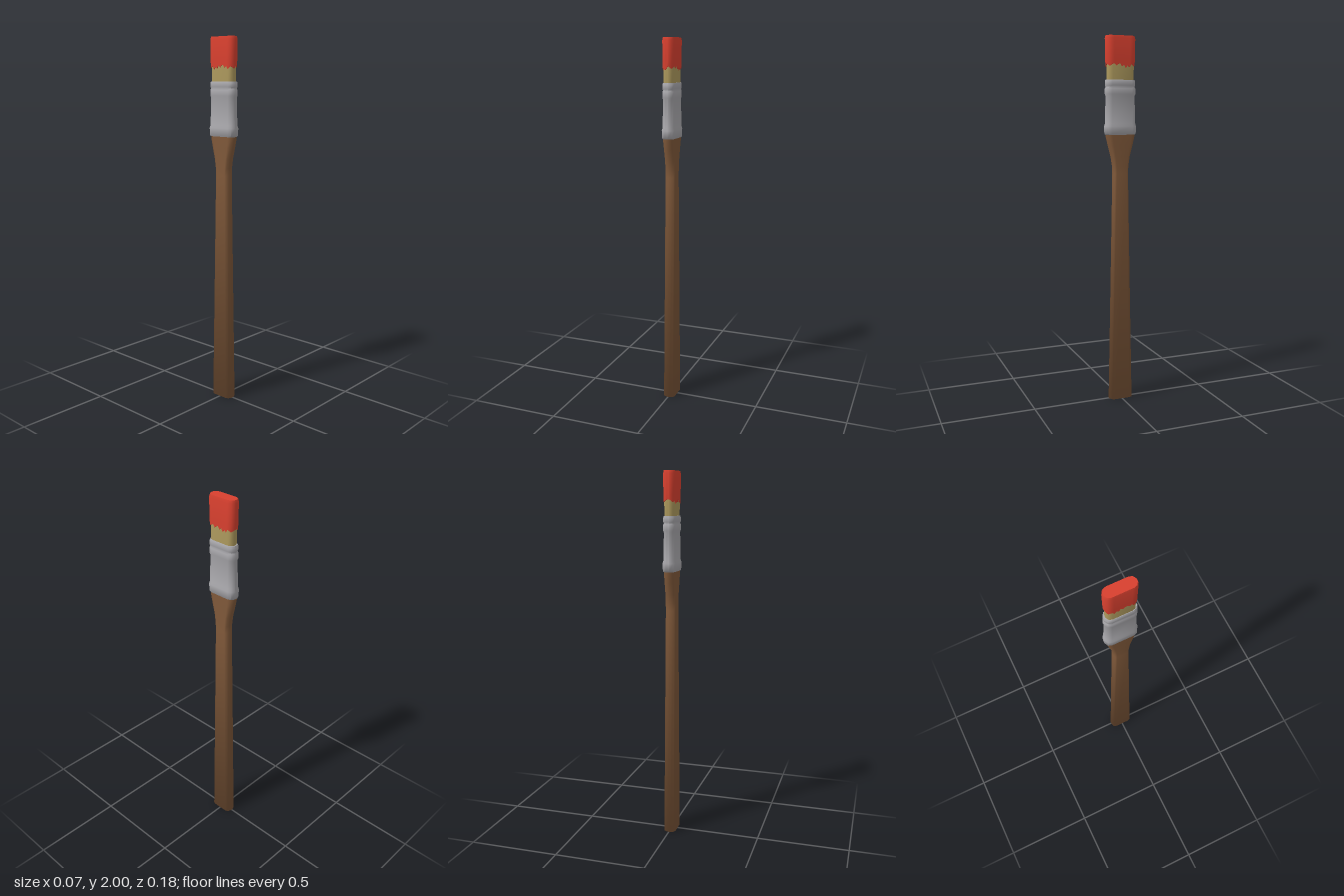
import * as THREE from 'three';
import { toCreasedNormals } from 'three/addons/utils/BufferGeometryUtils.js';

const mat = (name, color) => {
  const m = new THREE.MeshStandardMaterial({ color });
  m.name = name;
  return m;
};

// Unit outline of the flat oval section; the long sides can be subdivided
function outline(sideSteps = 1) {
  const corners = [[1, 0.66], [0.82, 0.87], [0.25, 1]];
  const pts = [];
  const half = [...corners, ...corners.map(([x, z]) => [-x, z]).reverse()];
  for (const s of [1, -1]) {
    for (const [x, z] of half) pts.push([x * s, z * s]);
    for (let i = 1; i < sideSteps; i++) {
      pts.push([-s, s * (0.66 - (1.32 * i) / sideSteps)]);
    }
  }
  return pts;
}

// Skin rings given as [y, halfX, halfZ]; y may be a function of the point index
function loft(rings, section, capBottom, capTop) {
  const n = section.length, pos = [], index = [];
  for (const [y, hx, hz] of rings) {
    section.forEach(([x, z], i) => pos.push(x * hx, typeof y === 'function' ? y(i) : y, z * hz));
  }
  for (let k = 0; k < rings.length - 1; k++) {
    for (let i = 0; i < n; i++) {
      const a = k * n + i, b = k * n + ((i + 1) % n);
      index.push(a, a + n, b, b, a + n, b + n);
    }
  }
  const cap = (k, top) => {
    const c = pos.length / 3;
    pos.push(0, rings[k][0], 0);
    for (let i = 0; i < n; i++) {
      const a = k * n + i, b = k * n + ((i + 1) % n);
      index.push(c, top ? b : a, top ? a : b);
    }
  };
  if (capBottom) cap(0, false);
  if (capTop) cap(rings.length - 1, true);
  const g = new THREE.BufferGeometry();
  g.setAttribute('position', new THREE.Float32BufferAttribute(pos, 3));
  g.setIndex(index);
  g.computeVertexNormals();
  return g;
}

export function createModel() {
  const group = new THREE.Group();
  group.name = 'paintbrush';
  const wood = mat('wood', 0x80593a);
  const metal = mat('metal', 0xa9a8ac);
  const hair = mat('bristle', 0xae9a5e);
  const paint = mat('red paint', 0xd8402f);
  const add = (name, geometry, material) => {
    const m = new THREE.Mesh(geometry, material);
    m.name = name;
    group.add(m);
  };
  const section = outline();

  // Handle: long taper, narrow neck, flare into the ferrule
  const handle = loft([
    [0, 0.033, 0.067], [1.27, 0.027, 0.043], [1.31, 0.027, 0.045],
    [1.36, 0.027, 0.053], [1.42, 0.028, 0.069], [1.47, 0.029, 0.081], [1.5, 0.029, 0.082],
  ], section, true, false);
  // Soft shading around the butt end
  const normal = handle.attributes.normal, v = new THREE.Vector3();
  for (let i = 0; i < section.length; i++) {
    v.fromBufferAttribute(normal, i).setY(0).normalize().setY(-0.7).normalize();
    normal.setXYZ(i, v.x, v.y, v.z);
  }
  add('handle', handle, wood);

  // Ferrule: thick lower band, flat body, two raised rings
  add('ferrule', toCreasedNormals(loft([
    [1.48, 0.031, 0.083], [1.485, 0.034, 0.088], [1.525, 0.035, 0.089], [1.54, 0.031, 0.085],
    [1.685, 0.029, 0.081], [1.695, 0.032, 0.085], [1.725, 0.032, 0.085],
    [1.733, 0.029, 0.081], [1.741, 0.032, 0.084], [1.762, 0.032, 0.084], [1.77, 0.029, 0.081],
  ], section, true, true), 0.9), metal);

  // Bare bristles
  add('bristles', toCreasedNormals(loft([
    [1.76, 0.027, 0.075], [1.88, 0.028, 0.077],
  ], section, false, false), 0.8), hair);

  // Paint coat with a ragged lower edge
  const drips = [0.004, -0.006, 0.006, -0.012, -0.002, -0.016, 0.002, -0.008, 0.007];
  const edge = (i) => 1.848 + drips[i % drips.length];
  add('paintedTip', toCreasedNormals(loft([
    [edge, 0.027, 0.076], [edge, 0.031, 0.081], [1.88, 0.031, 0.082],
    [1.985, 0.032, 0.084], [2, 0.029, 0.08],
  ], outline(10), false, true), 0.9), paint);

  return group;
}
